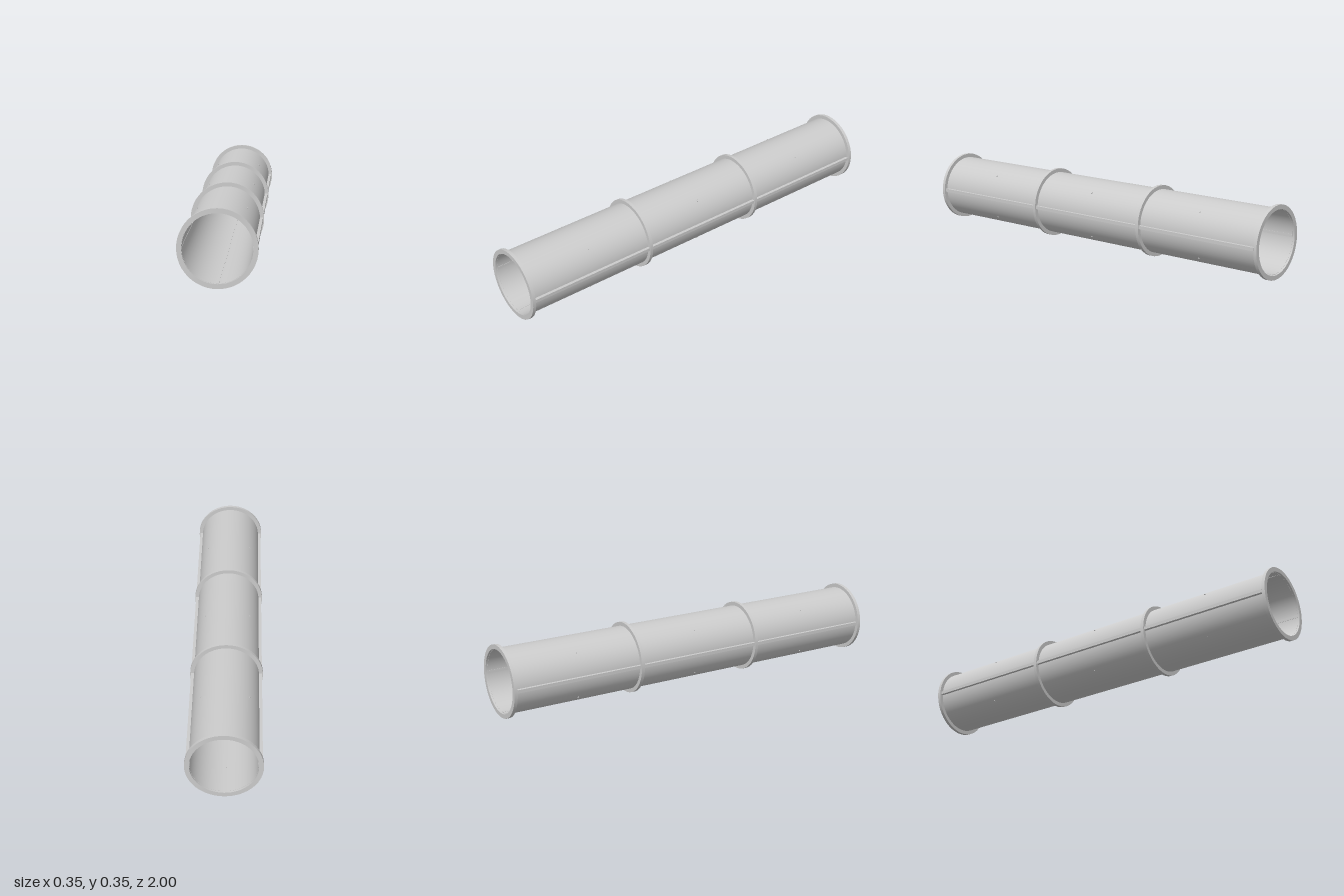
import * as THREE from 'three';
import { toCreasedNormals } from 'three/addons/utils/BufferGeometryUtils.js';

const CENTRE_Y = 0.1765;
const material = new THREE.MeshStandardMaterial({ color: 0xcccccc });

// Hollow cylinder along z, made from a closed rectangular profile
function ringGeometry(inner, outer, length, segments) {
  const h = length / 2;
  const profile = [[inner, -h], [outer, -h], [outer, h], [inner, h], [inner, -h]]
    .map(([r, z]) => new THREE.Vector2(r, z));
  const geometry = new THREE.LatheGeometry(profile, segments);
  geometry.rotateX(Math.PI / 2);
  return toCreasedNormals(geometry, Math.PI / 6);
}

export function createModel() {
  const model = new THREE.Group();
  model.name = 'flangedPipe';
  const body = new THREE.Group();
  body.name = 'pipeBody';
  body.position.y = CENTRE_Y;
  model.add(body);

  function add(name, geometry, x = 0, y = 0, z = 0) {
    const mesh = new THREE.Mesh(geometry, material);
    mesh.name = name;
    mesh.position.set(x, y, z);
    body.add(mesh);
    return mesh;
  }

  // Pipe wall
  add('pipeWall', ringGeometry(0.1525, 0.156, 1.98, 64));

  // Flanges at both ends and at the two joints
  const flange = ringGeometry(0.1545, 0.175, 0.016, 48);
  const endFlange = ringGeometry(0.1535, 0.175, 0.016, 48);
  for (const side of [-1, 1]) {
    add('endFlange', endFlange, 0, 0, side * 0.992);
    add('jointFlange', flange, 0, 0, side * 0.33);
  }

  // Long ribs on the left and right, one per section
  const rib = new THREE.BoxGeometry(0.016, 0.016, 0.646);
  for (const side of [-1, 1]) {
    for (const z of [-0.657, 0, 0.657]) add('sideRib', rib, side * 0.162, 0, z);
  }

  // Thin rails inside, a quarter turn apart
  const rail = new THREE.BoxGeometry(0.003, 0.014, 1.98);
  for (let i = 0; i < 4; i++) {
    const a = (i * Math.PI) / 2;
    add('innerRail', rail, Math.cos(a) * 0.1525, Math.sin(a) * 0.1525, 0).rotation.z = a;
  }

  // Small studs on the diagonals of each section
  const stud = new THREE.CylinderGeometry(0.004, 0.004, 0.006, 8);
  for (const z of [-0.65, 0, 0.65]) {
    for (let i = 0; i < 4; i++) {
      const a = Math.PI / 4 + (i * Math.PI) / 2;
      add('stud', stud, Math.cos(a) * 0.156, Math.sin(a) * 0.156, z).rotation.z = a - Math.PI / 2;
    }
  }
  return model;
}
